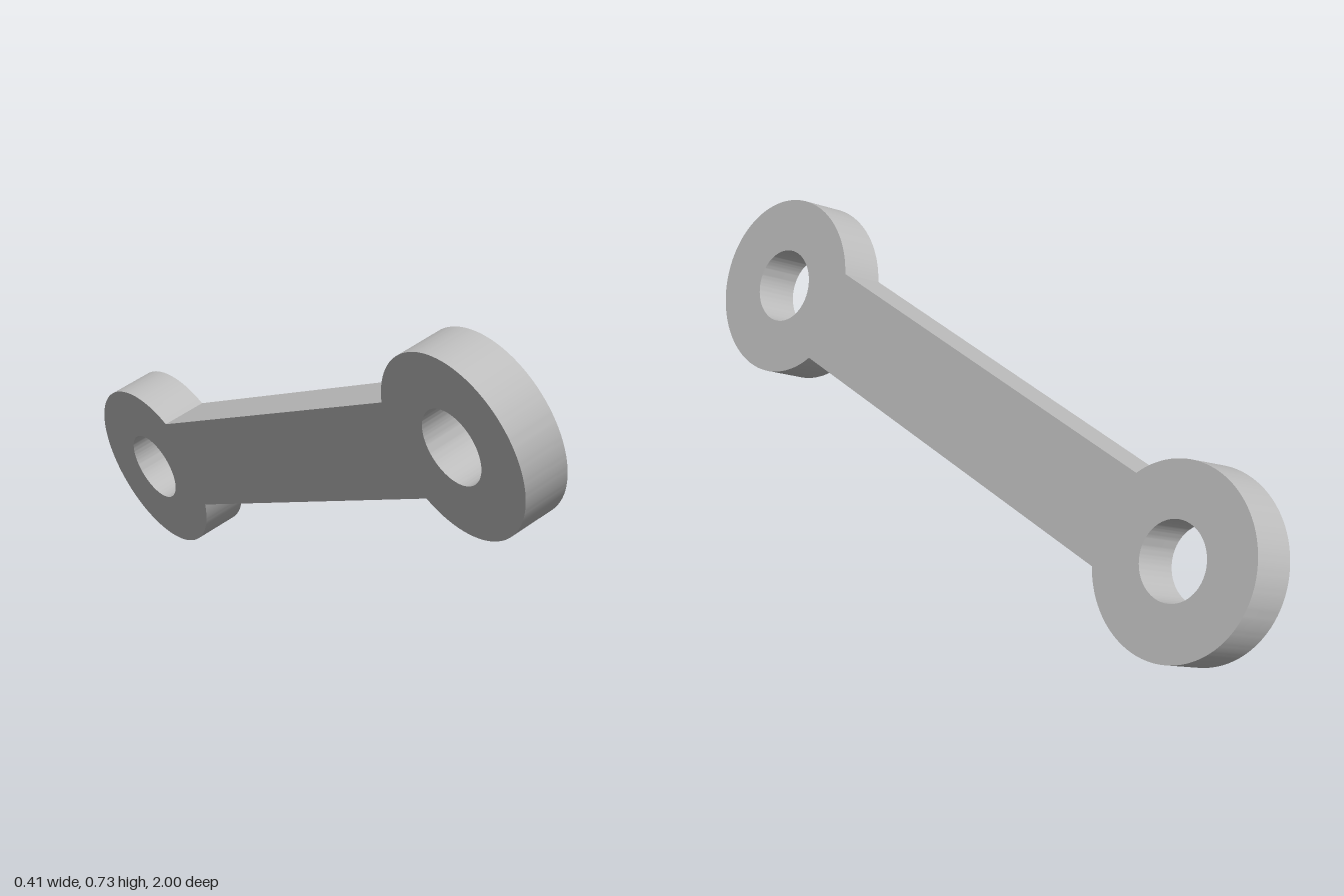
import * as THREE from 'three';
import { toCreasedNormals } from 'three/addons/utils/BufferGeometryUtils.js';

const HALF = 0.776;      // half the distance between eye centres
const EYE_R = 0.236;
const HOLE_R = 0.097;
const BAR_HALF = 0.124;  // half the bar width
const THICK = 0.125;
const PITCH = THREE.MathUtils.degToRad(10);   // slope along the length
const LEAN = THREE.MathUtils.degToRad(23.45); // lean of the flat faces

export function createModel() {
  const group = new THREE.Group();
  group.name = 'connectingLink';
  const steel = new THREE.MeshStandardMaterial({ color: 0xbfbfbf });
  steel.name = 'plain grey metal';

  // Outline: two round eyes joined by a straight bar
  const a = Math.asin(BAR_HALF / EYE_R);
  const outline = new THREE.Shape();
  outline.absarc(HALF, 0, EYE_R, -Math.PI + a, Math.PI - a, false);
  outline.absarc(-HALF, 0, EYE_R, a, 2 * Math.PI - a, false);
  outline.closePath();

  // Pin hole through each eye
  for (const side of [-1, 1]) {
    const hole = new THREE.Path();
    hole.absarc(side * HALF, 0, HOLE_R, 0, Math.PI * 2, true);
    outline.holes.push(hole);
  }

  const extruded = new THREE.ExtrudeGeometry(outline, {
    depth: THICK, bevelEnabled: false, curveSegments: 72,
  });
  extruded.translate(0, 0, -THICK / 2);
  const link = new THREE.Mesh(toCreasedNormals(extruded, 0.5), steel);
  link.name = 'linkBody';

  // Tilted pose: length runs up toward +z, flat faces lean upward to +x
  const normal = new THREE.Vector3(Math.cos(LEAN), Math.sin(LEAN), 0);
  const rise = new THREE.Vector3(-Math.sin(LEAN), Math.cos(LEAN), 0);
  const along = new THREE.Vector3(0, 0, Math.cos(PITCH)).addScaledVector(rise, Math.sin(PITCH));
  const across = new THREE.Vector3().crossVectors(normal, along);
  link.quaternion.setFromRotationMatrix(new THREE.Matrix4().makeBasis(along, across, normal));
  link.position.y = (HALF * Math.sin(PITCH) + EYE_R) * Math.cos(LEAN) + THICK / 2 * Math.sin(LEAN);

  group.add(link);
  return group;
}
